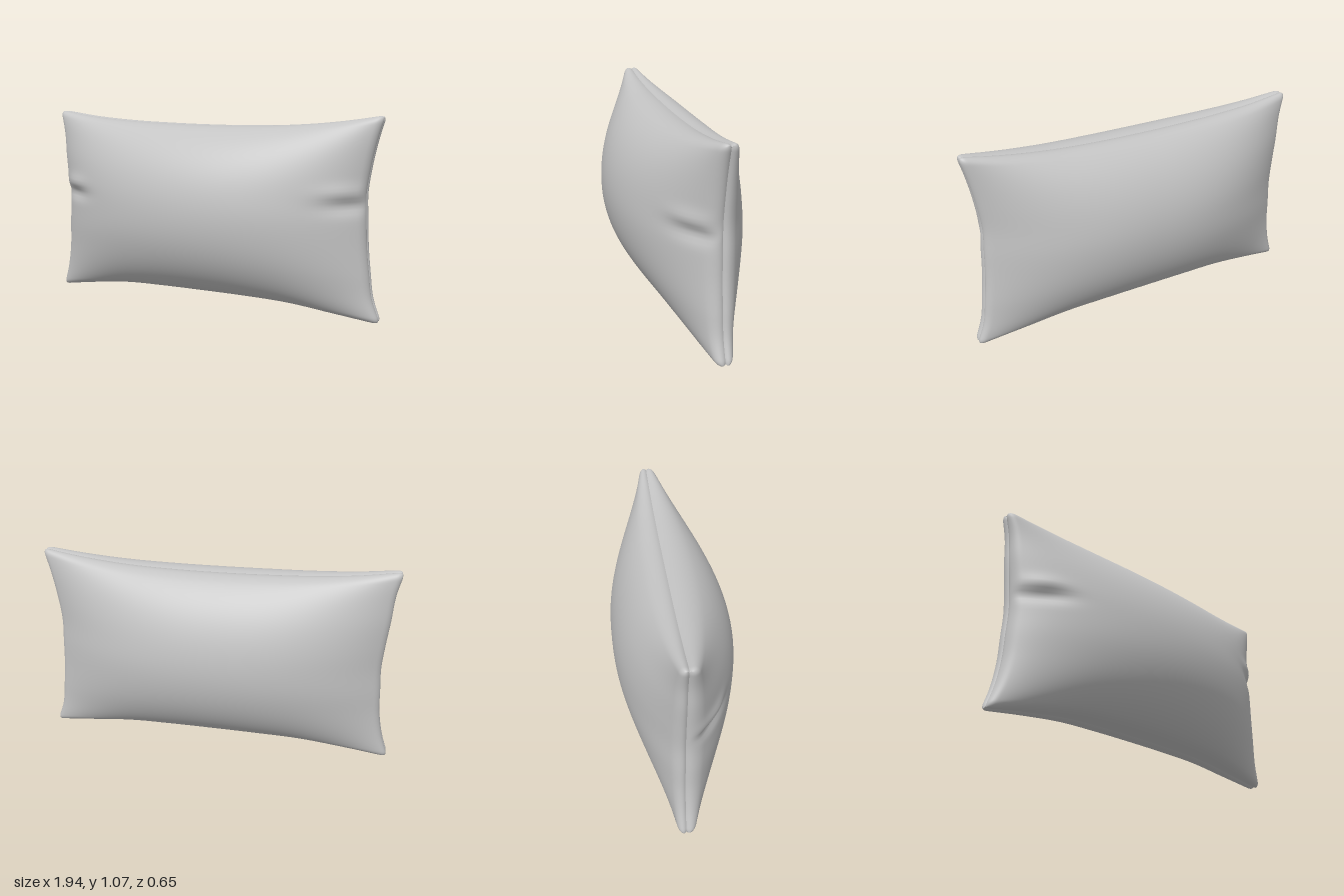
import * as THREE from 'three';

// Edge outlines, sampled evenly along each side
const RIGHT = [0.99, 0.94, 0.92, 0.905, 0.898, 0.893, 0.91, 0.938, 0.977];
const LEFT = [-1, -0.955, -0.93, -0.922, -0.915, -0.925, -0.94, -0.952, -0.985];
const TOP = [1.105, 1.07, 1.05, 1.04, 1.035, 1.036, 1.045, 1.068, 1.105];
const BOTTOM = [0.002, 0.045, 0.078, 0.088, 0.09, 0.087, 0.075, 0.04, 0.002];
const SEAM_Z = -0.036, LIP = 0.035, LIP_WIDTH = 0.04, GROOVE = 0.018;

// Smooth curve through even samples, p in -1..1
function sample(list, p) {
  const f = Math.min(Math.max((p + 1) / 2, 0), 1) * (list.length - 1);
  const i = Math.min(Math.floor(f), list.length - 2), t = f - i;
  const b = list[i], c = list[i + 1];
  const a = list[i - 1] ?? 2 * b - c, d = list[i + 2] ?? 2 * c - b;
  return b + 0.5 * t * (c - a + t * (2 * a - 5 * b + 4 * c - d + t * (3 * (b - c) + d - a)));
}

// Quarter-round rise of the lip from the seam
const roll = (d) => Math.sqrt(1 - (1 - Math.min(Math.max(d, 0) / LIP_WIDTH, 1)) ** 2);

// Round the corners of the parameter square
function roundCorner(s, t) {
  const rs = 0.05, rt = 0.09;
  const u = (Math.abs(s) - 1 + rs) / rs, v = (Math.abs(t) - 1 + rt) / rt;
  if (u <= 0 || v <= 0) return [s, t];
  return [
    Math.sign(s) * (1 - rs + rs * u * Math.sqrt(1 - v * v / 2)),
    Math.sign(t) * (1 - rt + rt * v * Math.sqrt(1 - u * u / 2)),
  ];
}

const dent = (x, y, cx, cy, wx, wy) => Math.exp(-(((x - cx) / wx) ** 2) - ((y - cy) / wy) ** 2);

// Fabric folds near the short ends of the front panel
function folds(x, y) {
  return 0.016 * dent(x, y, 0.8, 0.7, 0.12, 0.045) - 0.022 * dent(x, y, 0.82, 0.64, 0.12, 0.04)
    + 0.016 * dent(x, y, -0.8, 0.68, 0.1, 0.04) - 0.026 * dent(x, y, -0.8, 0.62, 0.12, 0.035);
}

// One stuffed half of the cushion; side is +1 for front, -1 for back
function panel(side) {
  const nx = 110, ny = 80, pos = [], index = [];
  for (let j = 0; j <= ny; j++) {
    for (let i = 0; i <= nx; i++) {
      const s0 = Math.sin((i / nx - 0.5) * Math.PI), t0 = Math.sin((j / ny - 0.5) * Math.PI);
      const [s, t] = roundCorner(s0, t0);
      let x = THREE.MathUtils.lerp(sample(LEFT, t), sample(RIGHT, t), (s + 1) / 2);
      let y = THREE.MathUtils.lerp(sample(BOTTOM, s), sample(TOP, s), (t + 1) / 2);
      // Rolled lip, tucked in at the seam
      const rx = roll((1 - Math.abs(s0)) * 0.93), ry = roll((1 - Math.abs(t0)) * 0.5);
      x -= Math.sign(s0) * GROOVE * (1 - rx) ** 2;
      y -= Math.sign(t0) * GROOVE * (1 - ry) ** 2;
      // Stuffing
      const ms = Math.max(1 - s0 * s0, 0), mt = Math.max(1 - t0 * t0, 0);
      const bulge = side > 0
        ? 0.327 * ms ** 0.75 * mt ** 0.54
        : 0.258 * Math.max(1 - Math.abs(s0) ** 2.4, 0) ** 0.9 * mt ** 0.65;
      const fold = side > 0 ? folds(x, y) * rx * ry : 0;
      pos.push(x, y, SEAM_Z + side * (LIP * rx * ry + bulge + fold));
      if (i < nx && j < ny) {
        const a = j * (nx + 1) + i, b = a + 1, d = a + nx + 1, c = d + 1;
        if (side > 0) index.push(a, b, c, a, c, d);
        else index.push(a, c, b, a, d, c);
      }
    }
  }
  const geo = new THREE.BufferGeometry();
  geo.setAttribute('position', new THREE.Float32BufferAttribute(pos, 3));
  geo.setIndex(index);
  geo.computeVertexNormals();
  return geo;
}

export function createModel() {
  const fabric = new THREE.MeshStandardMaterial({ color: 0xc4c4c4 });
  fabric.name = 'greyFabric';
  const cushion = new THREE.Group();
  cushion.name = 'cushion';
  for (const [name, side] of [['frontPanel', 1], ['backPanel', -1]]) {
    const mesh = new THREE.Mesh(panel(side), fabric);
    mesh.name = name;
    cushion.add(mesh);
  }
  return cushion;
}
